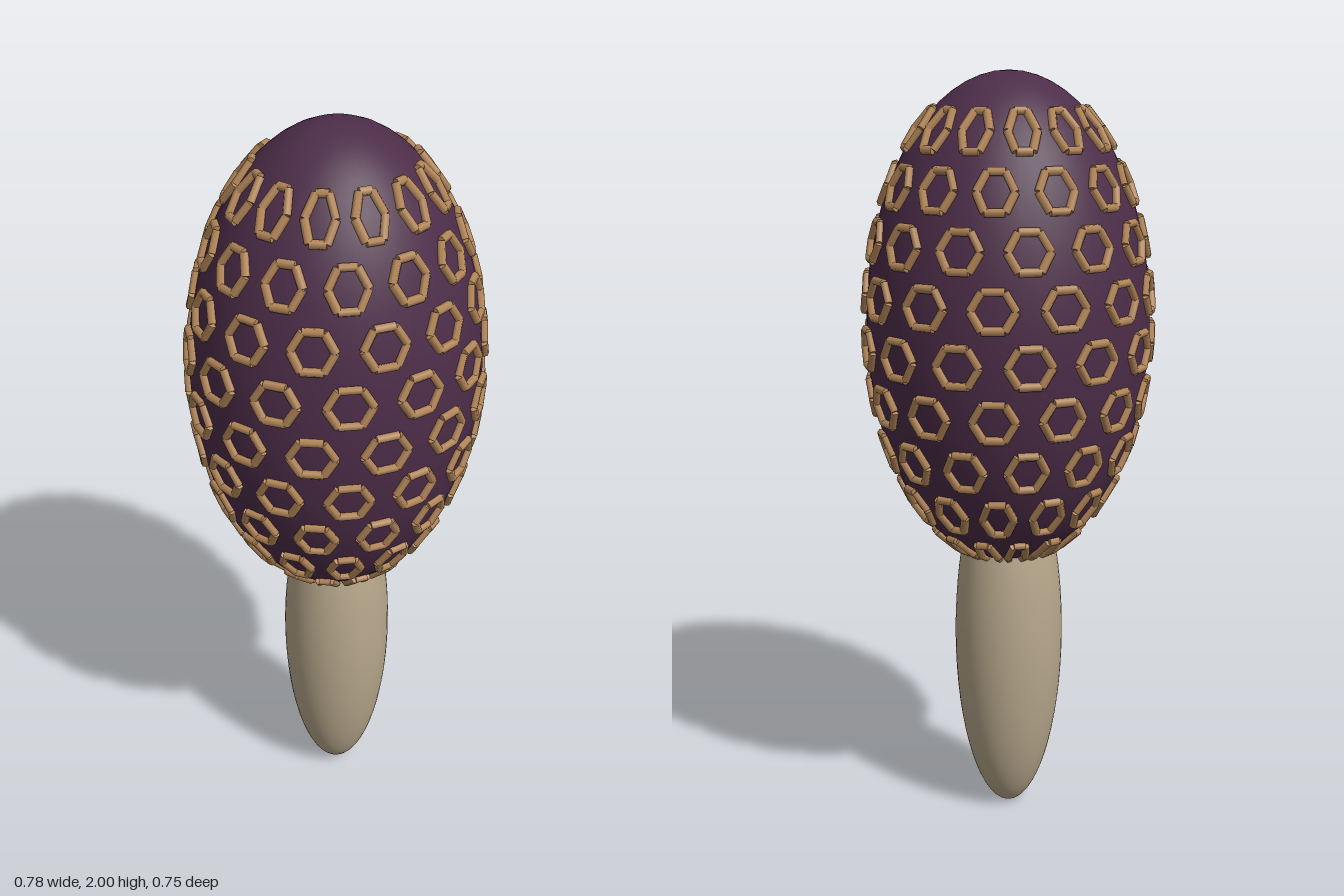
import * as THREE from 'three';
import { mergeGeometries } from 'three/addons/utils/BufferGeometryUtils.js';

const CAP = { y: 1.36, rx: 0.376, ry: 0.64, rz: 0.358 };
const ROWS = 9, PER_ROW = 13;

// Point on the cap at a given angle and height, lifted slightly off the surface
function capPoint(angle, y, lift = 0.004) {
  const t = THREE.MathUtils.clamp((y - CAP.y) / CAP.ry, -1, 1);
  const r = Math.sqrt(1 - t * t);
  const p = new THREE.Vector3(CAP.rx * r * Math.cos(angle), CAP.ry * t, CAP.rz * r * Math.sin(angle));
  const n = new THREE.Vector3(p.x / CAP.rx ** 2, p.y / CAP.ry ** 2, p.z / CAP.rz ** 2).normalize();
  p.y += CAP.y;
  return p.addScaledVector(n, lift);
}

// Six-sided bar between two points
function bar(a, b, radius = 0.011) {
  const dir = b.clone().sub(a);
  const g = new THREE.CylinderGeometry(radius, radius, dir.length(), 6);
  g.applyQuaternion(new THREE.Quaternion().setFromUnitVectors(new THREE.Vector3(0, 1, 0), dir.clone().normalize()));
  const mid = a.clone().add(b).multiplyScalar(0.5);
  return g.translate(mid.x, mid.y, mid.z);
}

function ellipsoid(rx, ry, rz, y, material, name) {
  const mesh = new THREE.Mesh(new THREE.SphereGeometry(1, 48, 32).scale(rx, ry, rz), material);
  mesh.position.y = y;
  mesh.name = name;
  return mesh;
}

export function createModel() {
  const purple = new THREE.MeshStandardMaterial({ name: 'cap purple', color: 0x4d2d49 });
  const tan = new THREE.MeshStandardMaterial({ name: 'honeycomb tan', color: 0xb5885a });
  const beige = new THREE.MeshStandardMaterial({ name: 'stalk beige', color: 0xb8a88c });

  const group = new THREE.Group();
  group.name = 'morel';
  group.add(ellipsoid(0.15, 0.505, 0.142, 0.505, beige, 'stalk'));
  group.add(ellipsoid(CAP.rx, CAP.ry, CAP.rz, CAP.y, purple, 'cap'));

  // Staggered rows of hexagonal ridges wrapped around the cap
  for (let row = 0; row < ROWS; row++) {
    const y = 1.857 - row * 0.1356;
    const bars = [];
    for (let i = 0; i < PER_ROW; i++) {
      const angle = ((i + (row % 2) / 2) / PER_ROW) * Math.PI * 2;
      const corners = [];
      for (let k = 0; k < 6; k++) {
        const a = (k * Math.PI) / 3;
        corners.push(capPoint(angle + 0.152 * Math.cos(a), y + 0.053 * Math.sin(a)));
      }
      corners.forEach((c, k) => bars.push(bar(c, corners[(k + 1) % 6])));
    }
    const ridges = new THREE.Mesh(mergeGeometries(bars), tan);
    ridges.name = `honeycombRow${row + 1}`;
    group.add(ridges);
  }
  return group;
}
